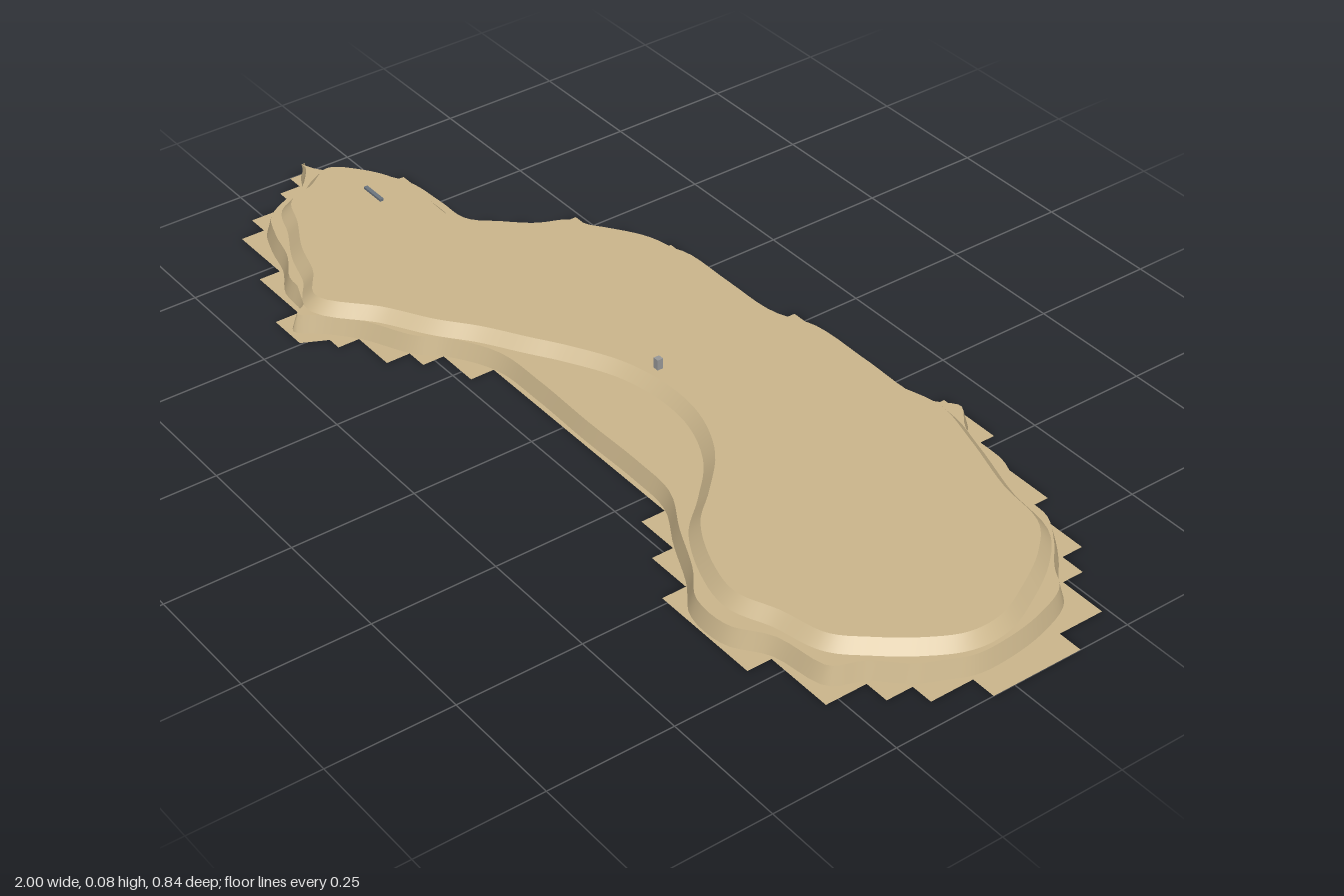
import * as THREE from 'three';

const SHELF_Y = 0.035, TOP_Y = 0.058;

// Stepped edge of the flat base sheet, as x, z pairs, clockwise from above
const baseEdge = [
  -1, .135, -1, .09, -.965, .09, -.965, .045, -.915, .045, -.915, 0, -.87, 0, -.87, -.05,
  -.635, -.05, -.635, -.095, -.59, -.095, -.59, -.145, -.545, -.145, -.545, -.24, -.45, -.24,
  -.45, -.285, -.355, -.285, -.355, -.33, -.03, -.33, -.03, -.375, .345, -.375, .345, -.42,
  .48, -.42, .48, -.375, .67, -.375, .67, -.33, .805, -.33, .805, -.285, .855, -.285,
  .855, -.24, .95, -.24, .95, -.145, 1, -.145, 1, .045, .95, .045, .95, .135, .905, .135,
  .905, .19, .855, .19, .855, .275, .715, .275, .715, .325, .485, .325, .485, .275, .39, .275,
  .39, .23, .3, .23, .3, .18, -.22, .18, -.22, .23, -.31, .23, -.31, .275, -.355, .275,
  -.355, .325, -.45, .325, -.45, .37, -.505, .37, -.505, .42, -.59, .42, -.59, .37, -.73, .37,
  -.73, .325, -.87, .325, -.87, .275, -.915, .275, -.915, .18, -.965, .18, -.965, .135,
];

// Foot of the lower cliff
const lowerEdge = [
  -.993, .112, -.955, .092, -.91, .05, -.865, .005, -.8, -.03, -.7, -.04, -.63, -.045,
  -.585, -.09, -.54, -.14, -.51, -.2, -.445, -.235, -.4, -.27, -.35, -.28, -.28, -.315,
  -.15, -.32, -.025, -.325, .06, -.36, .2, -.365, .35, -.37, .41, -.41, .475, -.37,
  .58, -.362, .665, -.325, .74, -.318, .8, -.28, .85, -.235, .9, -.2, .93, -.13,
  .945, -.05, .945, .03, .925, .08, .9, .13, .85, .185, .82, .245, .71, .27, .64, .315,
  .55, .315, .48, .27, .385, .225, .295, .177, .2, .17, .05, .172, -.1, .17, -.215, .177,
  -.305, .225, -.35, .27, -.445, .32, -.5, .365, -.545, .41, -.585, .365, -.66, .355,
  -.725, .32, -.8, .3, -.865, .27, -.907, .2, -.915, .172, -.96, .132,
];

// Rim of the plateau, with the bay cut into its front
const plateauEdge = [
  -.91, .1, -.865, .05, -.8, .015, -.7, .005, -.61, 0, -.54, -.06, -.47, -.16, -.4, -.22,
  -.32, -.265, -.16, -.28, -.02, -.285, .08, -.315, .3, -.325, .41, -.35, .52, -.325,
  .65, -.285, .76, -.265, .82, -.21, .87, -.13, .905, -.05, .905, .02, .87, .09, .82, .155,
  .77, .205, .68, .23, .6, .26, .52, .245, .42, .195, .36, .13, .28, .055, .18, .01,
  .08, 0, -.03, .02, -.13, .07, -.2, .115, -.28, .165, -.35, .22, -.44, .275, -.545, .355,
  -.62, .315, -.7, .29, -.78, .25, -.85, .22, -.875, .16,
];

const pairs = (list) => Array.from({ length: list.length / 2 },
  (_, i) => new THREE.Vector2(list[2 * i], list[2 * i + 1]));

// Smooth closed contour through the points
function contour(list, samples) {
  const curve = new THREE.CatmullRomCurve3(
    pairs(list).map((p) => new THREE.Vector3(p.x, 0, p.y)), true, 'centripetal');
  return curve.getPoints(samples).slice(0, -1).map((p) => new THREE.Vector2(p.x, p.z));
}

// Moves a contour outwards (positive) or inwards (negative)
function offset(points, d) {
  const n = points.length;
  return points.map((p, i) => {
    const t = points[(i + 1) % n].clone().sub(points[(i + n - 1) % n]).normalize();
    return new THREE.Vector2(p.x + t.y * d, p.y - t.x * d);
  });
}

// Level sheet at height y, optionally with a hole
function sheet(outer, y, hole) {
  const flip = (points) => points.map((p) => new THREE.Vector2(p.x, -p.y));
  const shape = new THREE.Shape(flip(outer));
  if (hole) shape.holes.push(new THREE.Path(flip(hole)));
  return new THREE.ShapeGeometry(shape).rotateX(-Math.PI / 2).translate(0, y, 0);
}

// Sloping band between two matching contours
function cliff(foot, y0, rim, y1) {
  const n = foot.length, position = [], index = [];
  foot.forEach((p) => position.push(p.x, y0, p.y));
  rim.forEach((p) => position.push(p.x, y1, p.y));
  for (let i = 0; i < n; i++) {
    const j = (i + 1) % n;
    index.push(i, n + i, j, n + i, n + j, j);
  }
  const geometry = new THREE.BufferGeometry();
  geometry.setAttribute('position', new THREE.Float32BufferAttribute(position, 3));
  geometry.setIndex(index);
  geometry.computeVertexNormals();
  return geometry;
}

export function createModel() {
  const group = new THREE.Group();
  const sand = new THREE.MeshStandardMaterial({ color: 0xcbb68c, side: THREE.DoubleSide });
  const grey = new THREE.MeshStandardMaterial({ color: 0x999999 });
  const slate = new THREE.MeshStandardMaterial({ color: 0x6c757f });
  const add = (name, geometry, material) => {
    const mesh = new THREE.Mesh(geometry, material);
    mesh.name = name;
    group.add(mesh);
  };

  const lowerFoot = contour(lowerEdge, 260);
  const lowerRim = offset(lowerFoot, -0.01);
  const upperRim = contour(plateauEdge, 240);
  const upperFoot = offset(upperRim, 0.02);

  // Hollow island in two tiers
  add('baseSheet', sheet(pairs(baseEdge), 0, lowerFoot), sand);
  add('lowerCliff', cliff(lowerFoot, 0, lowerRim, SHELF_Y), sand);
  add('shelf', sheet(lowerRim, SHELF_Y, upperFoot), sand);
  add('upperCliff', cliff(upperFoot, SHELF_Y, upperRim, TOP_Y), sand);
  add('plateau', sheet(upperRim, TOP_Y), sand);

  // Small markers standing on the plateau
  add('post', new THREE.BoxGeometry(0.012, 0.024, 0.012).translate(0.02, 0.068, -0.017), grey);
  add('bar', new THREE.BoxGeometry(0.058, 0.008, 0.008).translate(-0.773, 0.059, 0.08), slate);
  return group;
}
